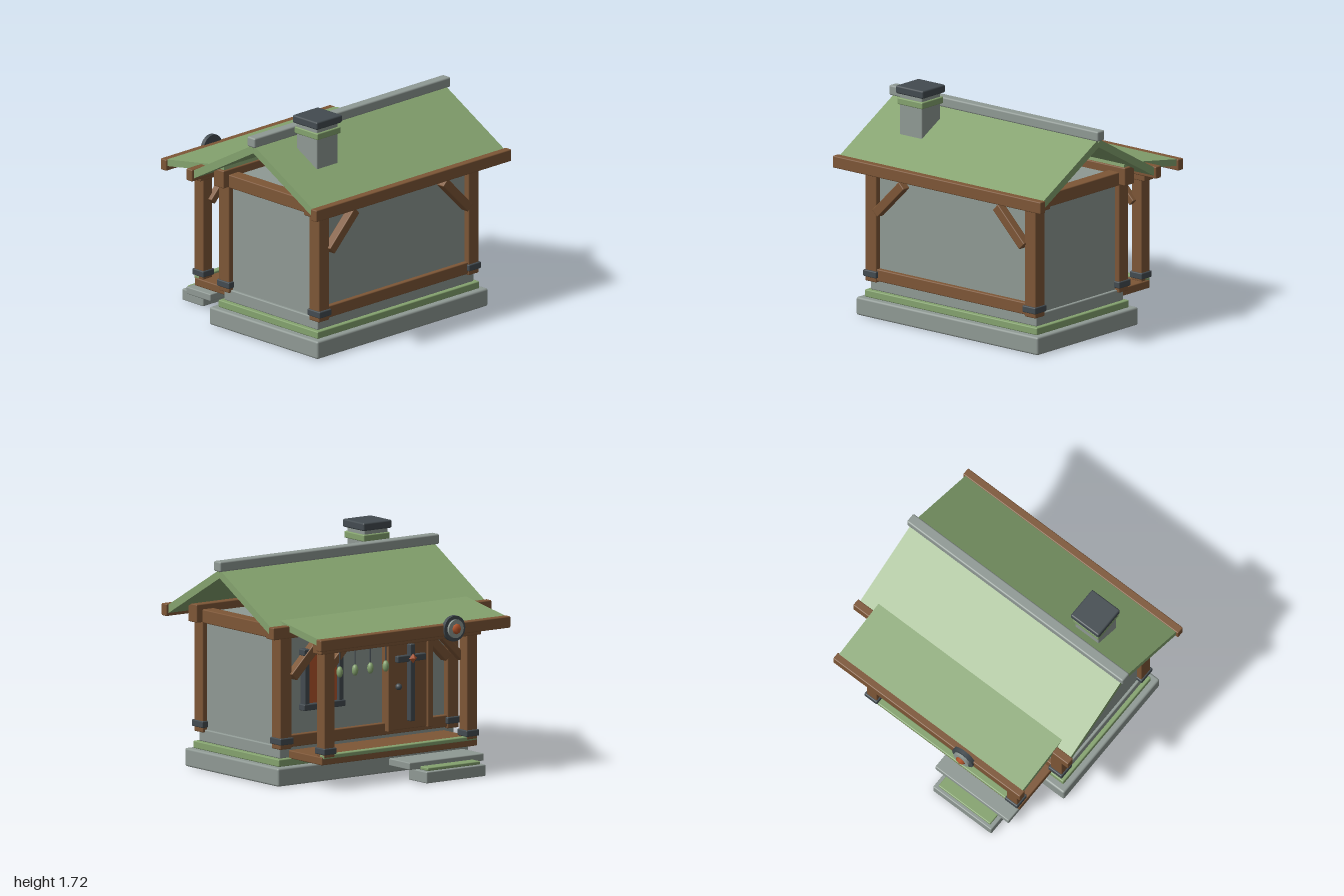
import * as THREE from 'three';
import { RoundedBoxGeometry } from 'three/addons/geometries/RoundedBoxGeometry.js';

const paint = (color) => new THREE.MeshStandardMaterial({ color });
const WOOD = paint(0x7d5636), GREEN = paint(0x84a26e), STONE = paint(0x8f9994);
const IRON = paint(0x434b50), GLOW = paint(0xb4552b);

export function createModel() {
  const model = new THREE.Group();

  const add = (name, geometry, material, x, y, z) => {
    const mesh = new THREE.Mesh(geometry, material);
    mesh.name = name;
    mesh.position.set(x, y, z);
    model.add(mesh);
    return mesh;
  };
  // Softly bevelled block given by its extents on each axis
  const block = (name, material, [x0, x1], [y0, y1], [z0, z1], bevel = 0.008) => {
    const w = x1 - x0, h = y1 - y0, d = z1 - z0;
    const r = Math.min(bevel, Math.min(w, h, d) * 0.3);
    return add(name, new RoundedBoxGeometry(w, h, d, 2, r), material,
      (x0 + x1) / 2, (y0 + y1) / 2, (z0 + z1) / 2);
  };
  // Sloping roof board between two (z, y) points on its centre line
  const slope = (name, width, thick, [z0, y0], [z1, y1]) => {
    const board = add(name, new THREE.BoxGeometry(width, thick, Math.hypot(z1 - z0, y1 - y0)),
      GREEN, 0, (y0 + y1) / 2, (z0 + z1) / 2);
    board.rotation.x = -Math.atan((y1 - y0) / (z1 - z0));
  };
  // Diagonal brace rising towards the middle
  const brace = (name, side, x, y, z, length, width, depth) => {
    const b = add(name, new RoundedBoxGeometry(length, width, depth, 2, 0.007), WOOD, side * x, y, z);
    b.rotation.z = -side * Math.PI / 4;
  };

  // Foundation and walls
  block('foundation', STONE, [-0.87, 0.87], [0, 0.135], [-0.335, 0.79], 0.015);
  block('foundationTrim', GREEN, [-0.825, 0.825], [0.135, 0.19], [-0.285, 0.745]);
  block('plinth', STONE, [-0.795, 0.795], [0.19, 0.28], [-0.255, 0.715]);
  block('walls', STONE, [-0.775, 0.775], [0.27, 1.15], [-0.245, 0.705], 0.004);

  // Timber frame: front and back are mirrored about the ridge line
  const ridgeZ = 0.23;
  for (const dir of [1, -1]) {
    const zs = (a, b) => [ridgeZ + dir * a, ridgeZ + dir * b].sort((p, q) => p - q);
    block('sill', WOOD, [-0.72, 0.72], [0.27, 0.36], zs(0.43, 0.51));
    block('topBeam', WOOD, [-0.87, 0.87], [1.075, 1.21], zs(0.415, 0.52));
    block('eaveBoard', WOOD, [-0.995, 0.995], [1.11, 1.2], zs(0.615, 0.675));
    slope('mainRoof', 1.95, 0.055, [ridgeZ, 1.505], [ridgeZ + dir * 0.64, 1.15]);
    for (const s of [1, -1]) {
      const xs = (a, b) => [s * a, s * b].sort((p, q) => p - q);
      block('cornerPost', WOOD, xs(0.71, 0.815), [0.26, 1.12], zs(0.415, 0.52));
      block('postBand', IRON, xs(0.7, 0.825), [0.295, 0.345], zs(0.405, 0.535));
      brace('wallBrace', s, 0.577, 0.915, ridgeZ + dir * 0.51, 0.36, 0.07, 0.07);
    }
  }
  for (const s of [1, -1])
    block('sideBeam', WOOD, s > 0 ? [0.71, 0.815] : [-0.815, -0.71], [1.07, 1.17], [-0.25, 0.71]);
  block('ridgeCap', STONE, [-1, 1], [1.525, 1.6], [0.19, 0.27], 0.012);

  // Chimney
  block('chimney', STONE, [-0.65, -0.435], [1.17, 1.68], [0.35, 0.56]);
  block('chimneyTrim', GREEN, [-0.66, -0.42], [1.58, 1.63], [0.335, 0.575]);
  block('chimneyCap', IRON, [-0.67, -0.41], [1.66, 1.72], [0.325, 0.58], 0.012);

  // Porch
  block('porchDeck', WOOD, [-0.71, 0.71], [0.185, 0.245], [-0.65, -0.23]);
  block('deckTrim', GREEN, [-0.7, 0.7], [0.23, 0.262], [-0.662, -0.61]);
  block('porchBeam', WOOD, [-0.73, 0.73], [1.005, 1.095], [-0.67, -0.565]);
  slope('porchRoof', 1.7, 0.05, [-0.2, 1.222], [-0.82, 1.12]);
  block('porchEaveBoard', WOOD, [-0.865, 0.865], [1.065, 1.15], [-0.845, -0.785]);
  for (const s of [1, -1]) {
    const x = s * 0.65;
    block('porchPost', WOOD, [x - 0.048, x + 0.048], [0.24, 1.04], [-0.665, -0.57]);
    block('porchPostBand', IRON, [x - 0.058, x + 0.058], [0.262, 0.31], [-0.677, -0.56]);
    brace('porchBrace', s, 0.53, 0.93, -0.565, 0.28, 0.055, 0.055);
  }

  // Hanging charms on cords under the porch beam
  for (let i = 0; i < 4; i++) {
    const x = 0.55 - i * 0.14;
    add('charmCord', new THREE.CylinderGeometry(0.005, 0.005, 0.14, 6), IRON, x, 0.95, -0.655);
    add('charm', new THREE.SphereGeometry(0.024, 12, 8), GREEN, x, 0.86, -0.655).scale.y = 1.75;
  }

  // Steps
  const stepX = -0.35;
  block('lowerStep', STONE, [stepX - 0.27, stepX + 0.27], [0, 0.085], [-0.87, -0.65]);
  block('stepTrim', GREEN, [stepX - 0.24, stepX + 0.24], [0.085, 0.11], [-0.845, -0.67]);
  block('upperStep', STONE, [stepX - 0.34, stepX + 0.34], [0.09, 0.145], [-0.755, -0.505]);

  // Window with glowing panes
  const winX = 0.42;
  block('windowPane', GLOW, [winX - 0.15, winX + 0.15], [0.55, 0.96], [-0.275, -0.235], 0.003);
  for (const dx of [-0.155, 0, 0.155]) {
    const half = dx ? 0.022 : 0.014;
    block('windowUpright', IRON, [winX + dx - half, winX + dx + half], [0.53, 0.98], [-0.3, -0.235]);
  }
  for (const y of [0.552, 0.958])
    block('windowRail', IRON, [winX - 0.19, winX + 0.19], [y - 0.024, y + 0.024], [-0.308, -0.235]);

  // Door with iron straps, a knob and a gem
  const doorX = -0.35;
  block('doorLeaf', WOOD, [doorX - 0.16, doorX + 0.16], [0.3, 0.95], [-0.305, -0.235]);
  for (const dx of [-0.18, 0.18])
    block('doorJamb', WOOD, [doorX + dx - 0.025, doorX + dx + 0.025], [0.295, 0.98], [-0.322, -0.235]);
  block('doorLintel', WOOD, [doorX - 0.205, doorX + 0.205], [0.94, 0.99], [-0.322, -0.235]);
  block('doorStrap', IRON, [doorX - 0.022, doorX + 0.022], [0.36, 0.93], [-0.348, -0.3]);
  block('doorCrossStrap', IRON, [doorX - 0.13, doorX + 0.13], [0.8, 0.85], [-0.34, -0.3]);
  add('doorKnob', new THREE.SphereGeometry(0.025, 14, 10), IRON, doorX + 0.12, 0.625, -0.335);
  add('doorGem', new THREE.OctahedronGeometry(0.036), GLOW, doorX, 0.825, -0.35).scale.z = 0.65;

  // Round ornament on the porch eave
  const disc = (name, material, r, z0, z1) =>
    add(name, new THREE.CylinderGeometry(r, r, z1 - z0, 24), material, -0.345, 1.115, (z0 + z1) / 2)
      .rotation.x = Math.PI / 2;
  disc('ornamentRim', IRON, 0.095, -0.86, -0.83);
  disc('ornamentPlate', STONE, 0.068, -0.878, -0.85);
  add('ornamentGem', new THREE.OctahedronGeometry(0.04, 1), GLOW, -0.345, 1.115, -0.882).scale.z = 0.57;

  return model;
}
